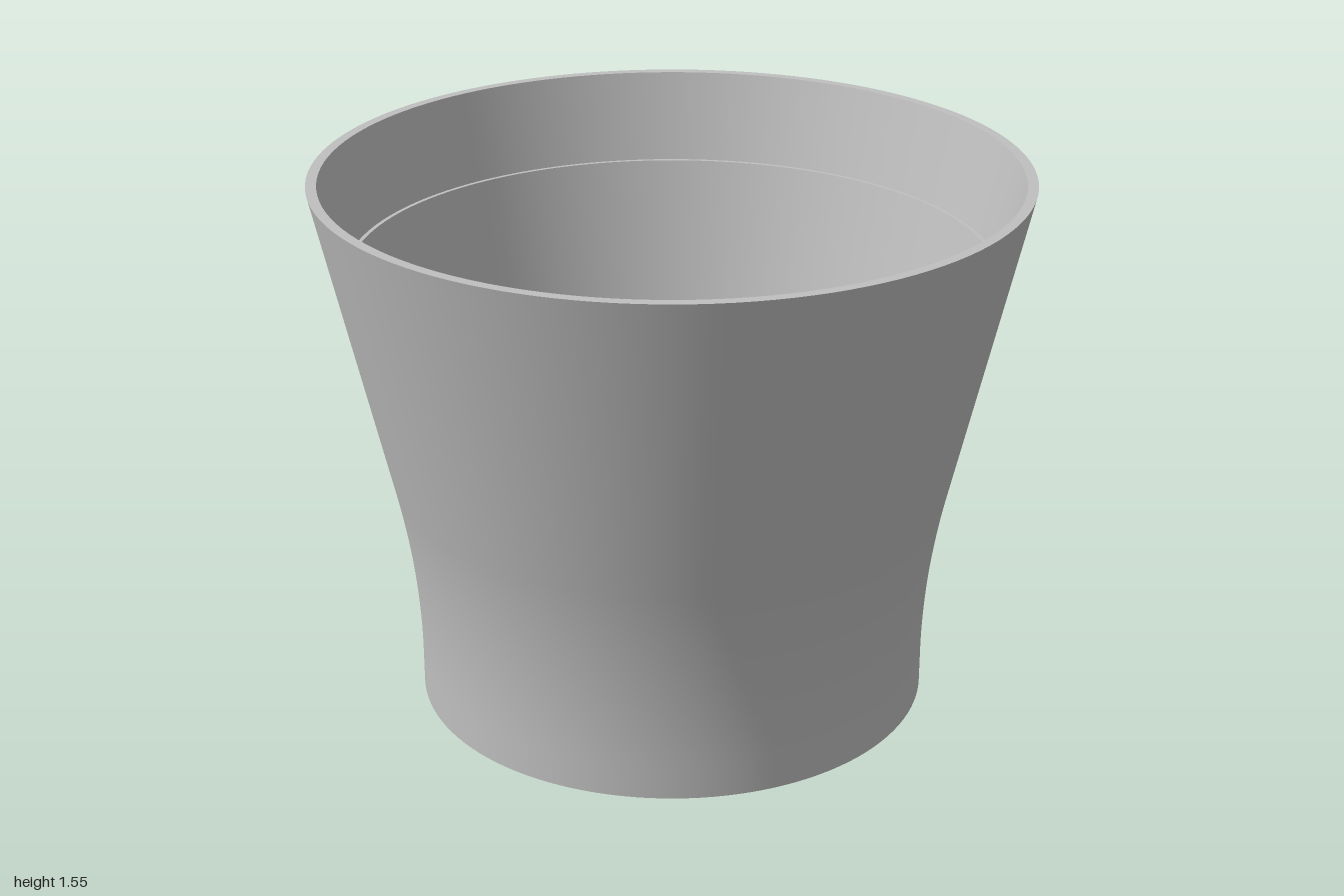
import * as THREE from 'three';

const SEGMENTS = 128;
const v = (x, y) => new THREE.Vector2(x, y);

// Smooth bend between two straight runs
const bend = (a, control, b) => new THREE.QuadraticBezierCurve(a, control, b).getPoints(16);

export function createModel() {
  const model = new THREE.Group();
  model.name = 'flaredSleeve';
  const grey = new THREE.MeshStandardMaterial({ color: 0xbfbfbf });
  grey.name = 'plain grey';

  // Each band is its own lathe, so the edges between bands stay sharp.
  // Profiles run up the outside, in over the rim, down the inside and out below.
  const bands = {
    outerWall: [v(0.735, 0), ...bend(v(0.735, 0.1), v(0.735, 0.375), v(0.797, 0.65)), v(1, 1.55)],
    topRim: [v(1, 1.55), v(0.97, 1.55)],
    socketWall: [v(0.97, 1.55), v(0.907, 1.29)],
    socketLedge: [v(0.907, 1.29), v(0.895, 1.29)],
    innerFunnel: [v(0.895, 1.29), ...bend(v(0.73, 0.56), v(0.69, 0.36), v(0.615, 0.2))],
    lowerFlare: [v(0.615, 0.2), v(0.693, 0.02)],
    bottomLip: [v(0.693, 0.02), v(0.698, 0)],
    bottomRim: [v(0.698, 0), v(0.735, 0)],
  };

  for (const [name, profile] of Object.entries(bands)) {
    const mesh = new THREE.Mesh(new THREE.LatheGeometry(profile, SEGMENTS), grey);
    mesh.name = name;
    model.add(mesh);
  }
  return model;
}
